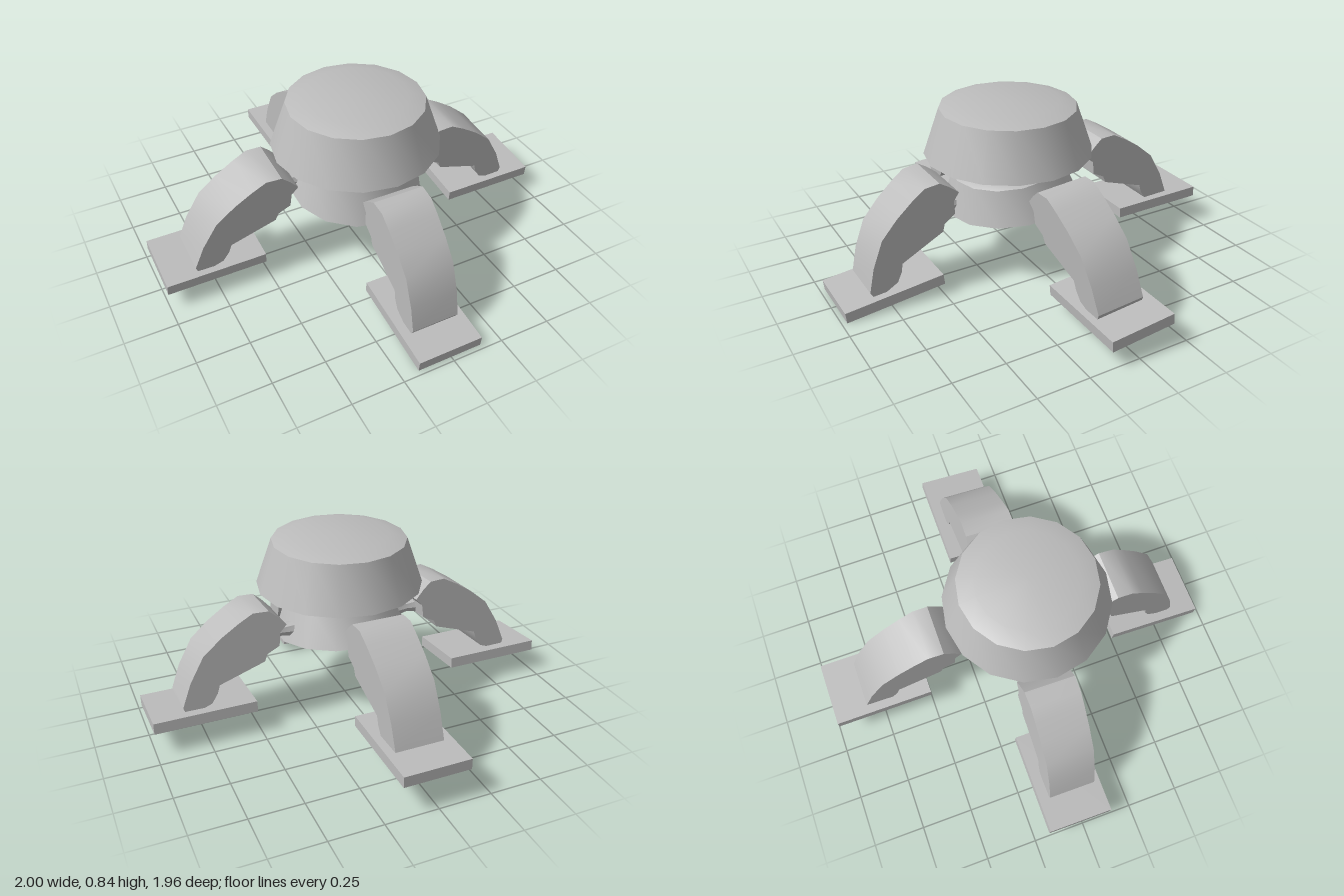
import * as THREE from 'three';
import { toCreasedNormals } from 'three/addons/utils/BufferGeometryUtils.js';

const grey = new THREE.MeshStandardMaterial({ color: 0xbcbcbc });
grey.name = 'plain grey';

function part(name, geometry, crease = 0.55) {
  const mesh = new THREE.Mesh(toCreasedNormals(geometry, crease), grey);
  mesh.name = name;
  return mesh;
}

// Side outline of a leg, running outwards along +x
const legOutline = [
  [0.335, 0.495], [0.375, 0.54], [0.415, 0.575], [0.49, 0.578], [0.56, 0.54], [0.645, 0.485],
  [0.735, 0.41], [0.805, 0.29], [0.85, 0.175], [0.84, 0.15], [0.78, 0.145],
  [0.715, 0.17], [0.685, 0.215], [0.672, 0.255], [0.45, 0.33], [0.435, 0.365],
  [0.375, 0.395], [0.368, 0.46],
];
const pivot = [0.6, 0.36];

function legGeometry() {
  const shape = new THREE.Shape(
    legOutline.map(([x, y]) => new THREE.Vector2(x - pivot[0], y - pivot[1])));
  const geometry = new THREE.ExtrudeGeometry(shape, { depth: 1, bevelEnabled: false });
  // Narrow the leg a little towards the toe
  const p = geometry.attributes.position;
  for (let i = 0; i < p.count; i++) {
    const width = 0.241 - 0.04 * p.getX(i);
    p.setZ(i, (p.getZ(i) - 0.5) * width);
  }
  return geometry;
}

// side: yaw, leg centre (along, up, across), leg pitch and roll, foot height, pitch and roll
const legs = [
  { name: 'left', yaw: 0, at: [0.6, 0.36, 0.012], pitch: 0, roll: 0.08,
    foot: [0.757, 0.13, -0.015], footPitch: 0, footRoll: 0.095 },
  { name: 'right', yaw: Math.PI, at: [0.6, 0.36, -0.008], pitch: 0, roll: -0.08,
    foot: [0.757, 0.13, 0.02], footPitch: 0, footRoll: -0.095 },
  { name: 'front', yaw: -Math.PI / 2, at: [0.63, 0.32, 0.005], pitch: -0.17, roll: 0,
    foot: [0.738, 0.057, 0.007], footPitch: -0.11, footRoll: 0 },
  { name: 'back', yaw: Math.PI / 2, at: [0.57, 0.383, 0.004], pitch: 0, roll: 0,
    foot: [0.74, 0.173, 0.003], footPitch: 0.01, footRoll: 0 },
];

function makeLeg(spec) {
  const group = new THREE.Group();
  group.name = spec.name + 'Leg';
  group.rotation.y = spec.yaw;

  const limb = part('limb', legGeometry());
  limb.position.set(...spec.at);
  limb.rotation.set(spec.roll, 0, spec.pitch);

  const foot = part('foot', new THREE.BoxGeometry(0.485, 0.052, 0.317));
  foot.position.set(...spec.foot);
  foot.rotation.set(spec.footRoll, 0, spec.footPitch);

  // Small flared joint between the body and the limb
  const profile = [[0, 0], [0.045, 0], [0.028, 0.09], [0.042, 0.15], [0, 0.15]];
  const joint = part('joint', new THREE.LatheGeometry(
    profile.map(([r, y]) => new THREE.Vector2(r, y)), 8));
  joint.rotation.z = -Math.PI / 2;
  joint.position.set(spec.at[0] - 0.36, spec.at[1] + 0.065, 0);

  group.add(limb, foot, joint);
  return group;
}

function lathe(name, profile, sides) {
  return part(name, new THREE.LatheGeometry(
    profile.map(([r, y]) => new THREE.Vector2(r, y)), sides));
}

export function createModel() {
  const model = new THREE.Group();
  model.name = 'fourLeggedWalker';

  // Head: wide tapered drum with a shallow bevelled top
  const head = lathe('head', [
    [0, 0.595], [0.403, 0.595], [0.325, 0.82], [0.245, 0.844], [0, 0.844]], 16);
  head.position.z = 0.067;

  // Neck under the head
  const neck = part('neck', new THREE.CylinderGeometry(1, 1, 0.11, 12));
  neck.scale.set(0.125, 1, 0.082);
  neck.position.set(0, 0.55, 0.052);

  // Lower body: tapered drum leaning forwards
  const body = lathe('body', [
    [0, -0.087], [0.325, -0.087], [0.265, 0.075], [0.235, 0.09], [0, 0.09]], 14);
  body.position.set(0, 0.443, 0.07);
  body.rotation.x = 0.1;

  model.add(head, neck, body, ...legs.map(makeLeg));
  return model;
}
